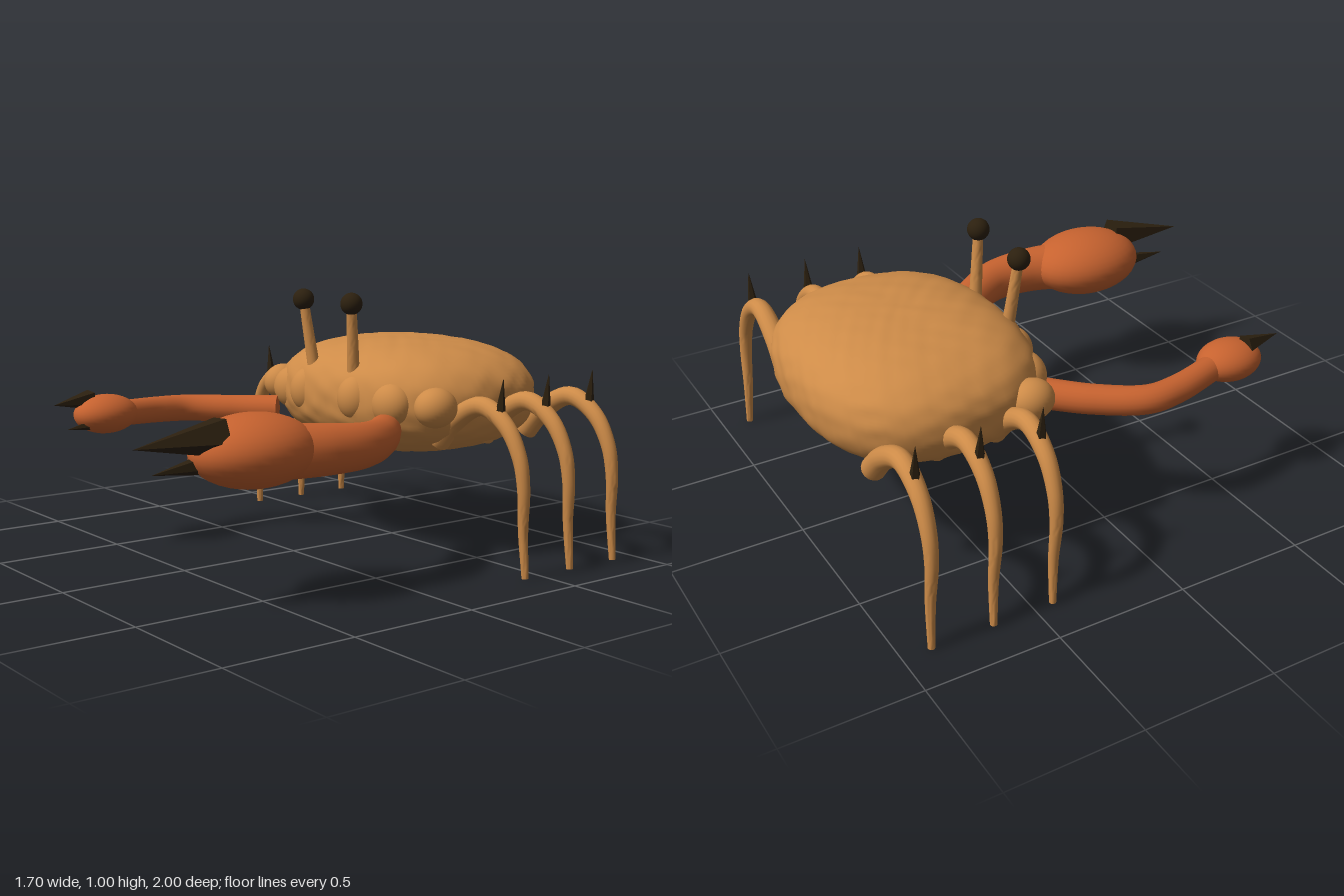
import * as THREE from 'three';
import { mergeVertices, toCreasedNormals } from 'three/addons/utils/BufferGeometryUtils.js';

const V = (x, y, z) => new THREE.Vector3(x, y, z);

function mat(name, color) {
  const m = new THREE.MeshStandardMaterial({ color });
  m.name = name;
  return m;
}

// capped tube along a smooth path, radius going from r0 to r1
function taperedTube(points, r0, r1, seg = 48, sides = 16) {
  const curve = new THREE.CatmullRomCurve3(points);
  const geo = new THREE.TubeGeometry(curve, seg, 1, sides, false);
  const pos = geo.attributes.position, p = V(0, 0, 0);
  for (let i = 0; i <= seg; i++) {
    const cap = i === 0 || i === seg;
    const own = curve.getPointAt(i / seg);
    const centre = curve.getPointAt(Math.min(Math.max(i, 1), seg - 1) / seg);
    const r = cap ? 0 : THREE.MathUtils.lerp(r0, r1, i / seg);
    for (let j = 0; j <= sides; j++) {
      const k = i * (sides + 1) + j;
      p.fromBufferAttribute(pos, k).sub(own).multiplyScalar(r).add(centre);
      pos.setXYZ(k, p.x, p.y, p.z);
    }
  }
  return toCreasedNormals(geo, 0.9);
}

// rounded, slightly boxy shell with a bumpy skin
function shellGeometry() {
  let geo = new THREE.SphereGeometry(1, 96, 64);
  geo.deleteAttribute('uv');
  geo.deleteAttribute('normal');
  geo = mergeVertices(geo, 1e-5);
  const pos = geo.attributes.position, e = 2.45;
  for (let i = 0; i < pos.count; i++) {
    const x = pos.getX(i), y = pos.getY(i), z = pos.getZ(i);
    const norm = (Math.abs(x) ** e + Math.abs(y) ** e + Math.abs(z) ** e) ** (-1 / e);
    const bump = Math.sin(17 * x + 4 * y) * Math.sin(15 * z - 3 * x) * Math.sin(13 * y + 5 * z + 1)
      + 0.6 * Math.sin(31 * x - 9 * z) * Math.sin(29 * z + 11 * y);
    const s = norm * (1 + 0.007 * bump);
    pos.setXYZ(i, x * s * 0.53, y * s * 0.224, z * s * 0.435);
  }
  geo.computeVertexNormals();
  return geo;
}

export function createModel() {
  const root = new THREE.Group();
  root.name = 'crab';
  const tan = mat('sandyShell', 0xcd8b48);
  const rust = mat('rustClaw', 0xc6622f);
  const dark = mat('darkTip', 0x2c200f);

  const add = (name, geo, material, parent = root) => {
    const m = new THREE.Mesh(geo, material);
    m.name = name;
    parent.add(m);
    return m;
  };
  const ball = (name, material, c, r, parent = root) => {
    const m = add(name, new THREE.SphereGeometry(1, 32, 20), material, parent);
    m.position.set(...c);
    m.scale.set(...r);
    return m;
  };
  // faceted cone from base to tip
  const spike = (name, base, tip, radius, parent) => {
    const dir = tip.clone().sub(base);
    const geo = new THREE.ConeGeometry(radius, dir.length(), 5).toNonIndexed();
    geo.computeVertexNormals();
    const m = add(name, geo, dark, parent);
    m.position.copy(base).addScaledVector(dir, 0.5);
    m.quaternion.setFromUnitVectors(V(0, 1, 0), dir.normalize());
  };

  // body
  add('shell', shellGeometry(), tan).position.set(0, 0.595, -0.562);

  for (const s of [1, -1]) {
    const side = s > 0 ? 'left' : 'right';

    // swellings at the front of the shell
    ball(side + 'Shoulder', tan, [s * 0.475, 0.6, -0.3], [0.075, 0.075, 0.085]);
    ball(side + 'Cheek', tan, [s * 0.31, 0.6, -0.23], [0.09, 0.085, 0.075]);
    ball(side + 'Brow', tan, [s * 0.15, 0.61, -0.19], [0.08, 0.09, 0.075]);

    // eye on its stalk
    const eye = new THREE.Group();
    eye.name = side + 'Eye';
    root.add(eye);
    add('eyeStalk', taperedTube([V(s * 0.122, 0.68, -0.195), V(s * 0.137, 0.83, -0.177),
      V(s * 0.15, 0.97, -0.16)], 0.025, 0.019, 16), tan, eye);
    ball('eyeball', dark, [s * 0.15, 0.97, -0.16], [0.042, 0.042, 0.042], eye);

    // three arched legs, each with a thorn
    for (const z of [-0.4, -0.632, -0.866]) {
      const leg = new THREE.Group();
      leg.name = side + 'Leg';
      root.add(leg);
      const path = [[0.37, 0.44, 0], [0.48, 0.55, 0], [0.62, 0.615, 0], [0.74, 0.555, -0.002],
        [0.805, 0.45, -0.006], [0.825, 0.34, -0.01], [0.82, 0.18, -0.018], [0.83, -0.012, -0.026]];
      add('legLimb', taperedTube(path.map(([x, y, dz]) => V(s * x, y, z + dz)), 0.046, 0.012), tan, leg);
      spike('legThorn', V(s * 0.708, 0.595, z), V(s * 0.722, 0.73, z), 0.021, leg);
    }
  }

  // one large and one small claw
  const claws = [
    {
      name: 'leftLargeClaw', r0: 0.062, r1: 0.1,
      arm: [[0.33, 0.51, -0.18], [0.46, 0.51, -0.04], [0.555, 0.515, 0.12], [0.565, 0.52, 0.28], [0.52, 0.525, 0.46]],
      palm: [[0.497, 0.535, 0.535], [0.183, 0.128, 0.235]],
      upper: [[0.525, 0.602, 0.68], [0.5, 0.585, 1.0], 0.072],
      lower: [[0.465, 0.503, 0.69], [0.48, 0.49, 0.92], 0.04],
    },
    {
      name: 'rightSmallClaw', r0: 0.058, r1: 0.05,
      arm: [[-0.32, 0.51, -0.175], [-0.46, 0.51, -0.03], [-0.565, 0.515, 0.13], [-0.565, 0.52, 0.26], [-0.51, 0.53, 0.47]],
      palm: [[-0.505, 0.535, 0.535], [0.102, 0.076, 0.13]],
      upper: [[-0.532, 0.592, 0.585], [-0.507, 0.585, 0.757], 0.04],
      lower: [[-0.475, 0.503, 0.6], [-0.485, 0.49, 0.715], 0.023],
    },
  ];
  for (const c of claws) {
    const g = new THREE.Group();
    g.name = c.name;
    root.add(g);
    add('arm', taperedTube(c.arm.map(p => V(...p)), c.r0, c.r1, 48, 20), rust, g);
    ball('palm', rust, c.palm[0], c.palm[1], g);
    for (const part of ['upper', 'lower']) {
      const [base, tip, r] = c[part];
      spike(part + 'Pincer', V(...base), V(...tip), r, g);
    }
  }
  return root;
}
